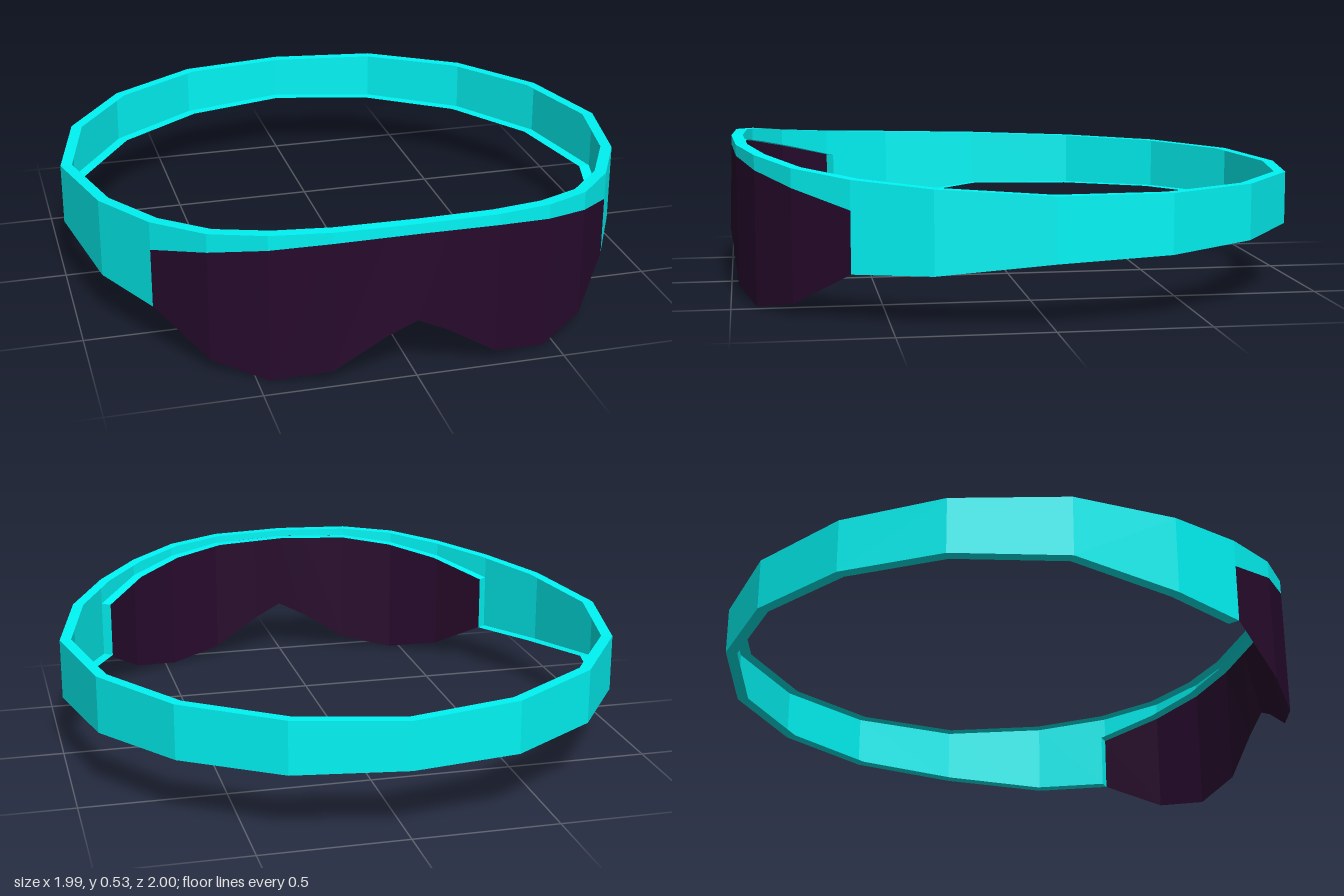
import * as THREE from 'three';

const INNER = 0.96; // inward reach of the band's folded edges
const LENS_END_TOP = 0.362;

// stations on the +x side: [x, z, bottom y, top y]
const STRAP = [
  [0.78, 0.62, 0.158, 0.459], [0.91, 0.37, 0.168, 0.441], [0.993, 0, 0.211, 0.423],
  [0.91, -0.39, 0.216, 0.414], [0.70, -0.705, 0.221, 0.41], [0.38, -0.925, 0.224, 0.406], [0, -1, 0.232, 0.399],
];
const RIM = [
  [0, 0.99, 0.492, 0.526], [0.27, 0.974, 0.483, 0.521], [0.46, 0.915, 0.456, 0.506],
  [0.63, 0.80, 0.417, 0.481], [0.78, 0.62, LENS_END_TOP, 0.459],
];
// the lens adds a small backward lean at the top over the nose
const LENS = [
  [0, 1.0, 0.197, 0.492, 0.01], [0.1, 0.99, 0.147, 0.489, 0.006], [0.27, 0.974, 0.038, 0.483, 0],
  [0.46, 0.915, 0, 0.456, 0], [0.63, 0.80, 0.038, 0.417, 0], [0.78, 0.62, 0.158, LENS_END_TOP, 0],
];

const flip = ([x, ...rest]) => [-x, ...rest];

function quad(out, a, b, c, d) {
  out.push(...a, ...b, ...c, ...a, ...c, ...d);
}

function makeMesh(name, positions, material) {
  const geometry = new THREE.BufferGeometry();
  geometry.setAttribute('position', new THREE.Float32BufferAttribute(positions, 3));
  geometry.computeVertexNormals();
  const mesh = new THREE.Mesh(geometry, material);
  mesh.name = name;
  return mesh;
}

// thin outer wall whose top and bottom edges fold inward
function bandPositions(stations) {
  const sections = stations.map(([x, z, lo, hi]) => [
    [x * INNER, lo, z * INNER], [x, lo, z], [x, hi, z], [x * INNER, hi, z * INNER],
  ]);
  const out = [];
  for (let i = 0; i < sections.length - 1; i++) {
    const a = sections[i], b = sections[i + 1];
    for (let k = 0; k < 3; k++) quad(out, a[k], b[k], b[k + 1], a[k + 1]);
  }
  return out;
}

// folded edge that runs down beside the lens, facing the front centre
function endFold([x, z, lo], hi) {
  const out = [];
  quad(out, [x, lo, z], [x, hi, z], [x * INNER, hi, z * INNER], [x * INNER, lo, z * INNER]);
  return out;
}

// single thin sheet through the stations
function sheetPositions(stations) {
  const out = [];
  for (let i = 0; i < stations.length - 1; i++) {
    const [x0, z0, lo0, hi0, lean0] = stations[i];
    const [x1, z1, lo1, hi1, lean1] = stations[i + 1];
    quad(out, [x0, lo0, z0], [x1, lo1, z1], [x1, hi1, z1 - lean1], [x0, hi0, z0 - lean0]);
  }
  return out;
}

export function createModel() {
  const group = new THREE.Group();
  group.name = 'visorGoggles';
  const bandMaterial = new THREE.MeshStandardMaterial({ color: 0x00f5f5, flatShading: true, side: THREE.DoubleSide });
  const lensMaterial = new THREE.MeshStandardMaterial({ color: 0x270a2c, flatShading: true, side: THREE.DoubleSide });

  // mirrored paths: front pieces share the centre station, the strap shares the back station
  const fromCentre = (half) => [...half.slice(1).reverse().map(flip), ...half];
  const aroundBack = [...STRAP, ...STRAP.slice(0, -1).reverse().map(flip)];

  group.add(makeMesh('headStrap', bandPositions(aroundBack), bandMaterial));
  group.add(makeMesh('upperRim', bandPositions(fromCentre(RIM)), bandMaterial));
  group.add(makeMesh('leftStrapEnd', endFold(STRAP[0], LENS_END_TOP), bandMaterial));
  group.add(makeMesh('rightStrapEnd', endFold(flip(STRAP[0]), LENS_END_TOP), bandMaterial));
  group.add(makeMesh('lens', sheetPositions(fromCentre(LENS)), lensMaterial));
  return group;
}
